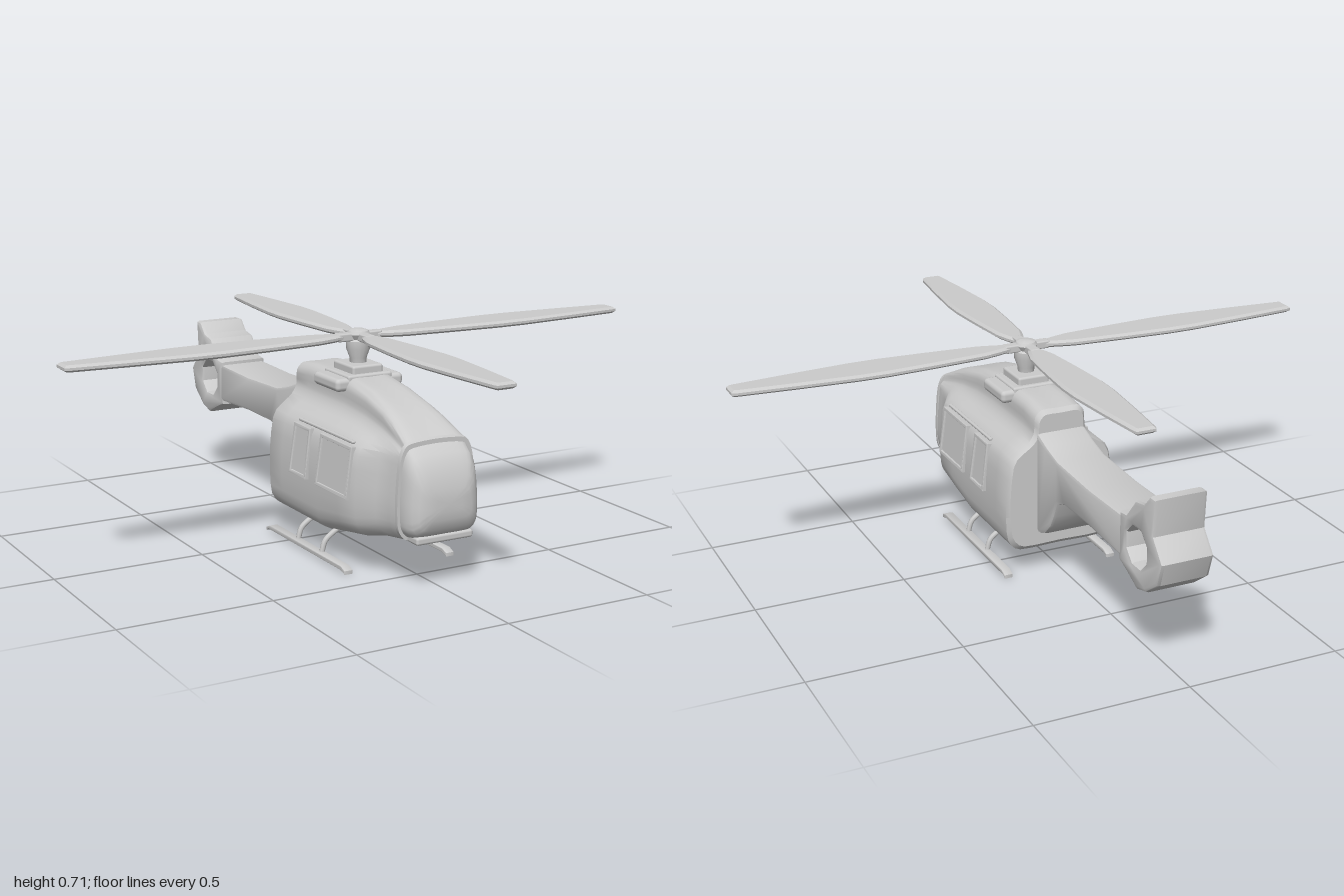
import * as THREE from 'three';
import { toCreasedNormals } from 'three/addons/utils/BufferGeometryUtils.js';
import { RoundedBoxGeometry } from 'three/addons/geometries/RoundedBoxGeometry.js';

const grey = new THREE.MeshStandardMaterial({ color: 0xcccccc });

function add(parent, name, geometry, x = 0, y = 0, z = 0) {
  const mesh = new THREE.Mesh(geometry, grey);
  mesh.name = name;
  mesh.position.set(x, y, z);
  parent.add(mesh);
  return mesh;
}

const box = (w, h, d, r = 0.008) => new RoundedBoxGeometry(w, h, d, 2, r);
const shapeOf = pts => new THREE.Shape(pts.map(p => new THREE.Vector2(...p)));

// Skin stretched over mirrored half outlines, listed from back to front
function loft(sections, crease = 0.6, n = 56) {
  const pos = [], index = [];
  for (const { z, half } of sections) {
    const mirrored = half.slice(1, -1).reverse().map(([x, y]) => [-x, y]);
    const ring = [...half, ...mirrored].map(([x, y]) => new THREE.Vector3(x, y, z));
    const curve = new THREE.CatmullRomCurve3(ring, true, 'catmullrom', 0.35);
    for (let j = 0; j < n; j++) pos.push(...curve.getPoint(j / n).toArray());
  }
  const last = sections.length - 1;
  for (let i = 0; i < last; i++) for (let j = 0; j < n; j++) {
    const k = (j + 1) % n, a = i * n + j, b = i * n + k;
    index.push(a, b, b + n, a, b + n, a + n);
  }
  // End caps
  for (const i of [0, last]) {
    const { z, half } = sections[i], c = pos.length / 3;
    pos.push(0, (half[0][1] + half[half.length - 1][1]) / 2, z);
    for (let j = 0; j < n; j++) {
      const a = i * n + j, b = i * n + (j + 1) % n;
      index.push(c, ...(i ? [a, b] : [b, a]));
    }
  }
  const g = new THREE.BufferGeometry();
  g.setAttribute('position', new THREE.Float32BufferAttribute(pos, 3));
  g.setIndex(index);
  return toCreasedNormals(g, crease);
}

// Side profile in (z, y), given a thickness across x
function sideExtrude(shape, width, bevel) {
  const g = new THREE.ExtrudeGeometry(shape, {
    depth: width - 2 * bevel, bevelThickness: bevel, bevelSize: bevel,
    bevelOffset: -bevel, bevelSegments: 2, curveSegments: 8,
  });
  g.translate(0, 0, bevel - width / 2).rotateY(-Math.PI / 2);
  return toCreasedNormals(g, 0.6);
}

// Half outline of the cabin: belly, side wall, shoulder and engine cowling
function cabinHalf(w, yb, yt, shoulder, cowl) {
  const u = yt - 0.4;
  return [[0, yb], [0.75 * w, yb], [0.97 * w, yb + 0.045], [w, 0.27], [0.91 * w, 0.4],
    [shoulder, 0.4 + 0.35 * u], [cowl, 0.4 + 0.55 * u], [cowl * 0.96, 0.4 + 0.85 * u],
    [cowl * 0.7, yt], [0, yt]];
}

function noseHalf(w, yb, yt) {
  const h = yt - yb;
  return [[0, yb], [0.75 * w, yb + 0.01 * h], [0.97 * w, yb + 0.13 * h], [w, yb + 0.4 * h],
    [0.93 * w, yb + 0.8 * h], [0.74 * w, yb + 0.97 * h], [0, yt]];
}

function windowFrame(parent, side, z, width) {
  const group = new THREE.Group();
  group.name = side > 0 ? 'leftWindow' : 'rightWindow';
  group.position.set(side * 0.181, 0.325, z);
  group.rotation.z = side * 0.13;
  parent.add(group);
  const rect = (w, h) => [[-w, -h], [w, -h], [w, h], [-w, h]];
  const shape = shapeOf(rect(width / 2, 0.083));
  shape.holes.push(new THREE.Path(rect(width / 2 - 0.012, 0.071).map(p => new THREE.Vector2(...p))));
  add(group, 'windowFrame', sideExtrude(shape, 0.026, 0.003));
  add(group, 'windowPane', new THREE.BoxGeometry(0.012, 0.15, width - 0.015));
}

export function createModel() {
  const model = new THREE.Group();
  model.name = 'helicopter';

  // Cabin and nose
  add(model, 'cabin', loft([
    [-0.14, 0.18, 0.105, 0.55, 0.1, 0.08], [-0.125, 0.19, 0.09, 0.563, 0.11, 0.09],
    [-0.04, 0.19, 0.09, 0.572, 0.11, 0.09], [0.2, 0.19, 0.09, 0.572, 0.11, 0.09],
    [0.33, 0.19, 0.112, 0.553, 0.11, 0.09], [0.44, 0.188, 0.13, 0.525, 0.115, 0.095],
    [0.5, 0.15, 0.143, 0.503, 0.115, 0.1], [0.56, 0.14, 0.15, 0.475, 0.117, 0.105],
    [0.6, 0.135, 0.155, 0.455, 0.12, 0.108],
  ].map(([z, ...p]) => ({ z, half: cabinHalf(...p) }))));
  add(model, 'windscreen', loft([
    [0.58, 0.128, 0.16, 0.455], [0.605, 0.128, 0.16, 0.445], [0.635, 0.125, 0.165, 0.42],
    [0.655, 0.115, 0.175, 0.393], [0.67, 0.1, 0.195, 0.355], [0.679, 0.08, 0.225, 0.32],
    [0.682, 0.045, 0.25, 0.295],
  ].map(([z, ...p]) => ({ z, half: noseHalf(...p) })), 0.9));
  add(model, 'windscreenFrame', loft([
    [0.592, 0.137, 0.152, 0.462], [0.606, 0.137, 0.152, 0.458],
  ].map(([z, ...p]) => ({ z, half: noseHalf(...p) }))));
  add(model, 'chin', box(0.2, 0.025, 0.07), 0, 0.162, 0.625);

  // Tail boom with the fairing that joins the cabin
  add(model, 'tailBoom', sideExtrude(shapeOf([
    [-0.1, 0.5], [-0.14, 0.49], [-0.2, 0.468], [-0.28, 0.448], [-0.5, 0.44], [-0.73, 0.445],
    [-0.73, 0.31], [-0.5, 0.32], [-0.33, 0.318], [-0.285, 0.302], [-0.26, 0.25],
    [-0.235, 0.205], [-0.195, 0.165], [-0.15, 0.147], [-0.1, 0.145],
  ]), 0.17, 0.012));

  // Tail fin with its open duct
  const fin = shapeOf([
    [-0.705, 0.455], [-0.745, 0.46], [-0.8, 0.525], [-0.85, 0.535], [-0.885, 0.572],
    [-0.918, 0.572], [-0.91, 0.455], [-0.965, 0.39], [-0.942, 0.315], [-0.875, 0.265],
    [-0.82, 0.25], [-0.755, 0.28], [-0.705, 0.3],
  ]);
  const duct = Array.from({ length: 8 }, (_, i) => {
    const a = (i + 0.5) * Math.PI / 4;
    return new THREE.Vector2(-0.812 + 0.064 * Math.cos(a), 0.382 + 0.064 * Math.sin(a));
  });
  fin.holes.push(new THREE.Path(duct));
  add(model, 'tailFin', sideExtrude(fin, 0.174, 0.012));
  for (let i = 0; i < 4; i++) {
    const a = (i + 0.5) * Math.PI / 2;
    add(model, 'ductTab', new THREE.BoxGeometry(0.03, 0.024, 0.024),
      0, 0.382 + 0.056 * Math.sin(a), -0.812 + 0.056 * Math.cos(a)).rotation.x = -a;
  }

  // Windows, rails, intakes and skids on both sides
  for (const s of [1, -1]) {
    windowFrame(model, s, 0.31, 0.2);
    windowFrame(model, s, 0.09, 0.11);
    add(model, 'doorRail', box(0.012, 0.01, 0.35, 0.004), s * 0.165, 0.418, 0.22);
    add(model, 'engineIntake', box(0.06, 0.042, 0.16, 0.015), s * 0.092, 0.551, 0.13);
    add(model, 'skid', sideExtrude(shapeOf([
      [0.4, 0], [0.4, 0.012], [0.375, 0.022], [-0.11, 0.022], [-0.135, 0.012], [-0.135, 0],
      [-0.12, 0.008], [0.37, 0.008],
    ]), 0.03, 0.003), s * 0.186);
    for (const z of [0.215, 0.055]) {
      const path = new THREE.CatmullRomCurve3([[0.11, 0.095], [0.14, 0.078], [0.168, 0.055], [0.181, 0.014]]
        .map(([x, y]) => new THREE.Vector3(s * x, y, z)));
      add(model, 'skidStrut', new THREE.TubeGeometry(path, 12, 0.009, 8));
    }
  }

  // Rotor mast
  const mast = new THREE.Group();
  mast.name = 'rotorMast';
  mast.position.z = 0.13;
  model.add(mast);
  add(mast, 'mastBase', box(0.16, 0.04, 0.16), 0, 0.56, 0);
  add(mast, 'mastPlinth', box(0.11, 0.04, 0.13), 0, 0.585, 0);
  add(mast, 'mastColumn', toCreasedNormals(new THREE.LatheGeometry([
    [0, 0.59], [0.026, 0.59], [0.028, 0.62], [0.039, 0.65], [0.039, 0.675], [0.03, 0.68],
    [0.039, 0.696], [0.032, 0.707], [0.018, 0.712], [0, 0.713],
  ].map(p => new THREE.Vector2(...p)), 16), 0.6));

  // Four blades with their root grips
  const edge = [[0.06, 0.016], [0.1, 0.03], [0.16, 0.045], [0.34, 0.06], [0.5, 0.07],
    [0.6, 0.069], [0.8, 0.054], [0.985, 0.037], [1, 0.032]];
  const bladeShape = shapeOf([...edge.map(([r, w]) => [r, -w]), ...edge.slice().reverse()]);
  const bladeGeometry = toCreasedNormals(new THREE.ExtrudeGeometry(bladeShape, {
    depth: 0.008, bevelThickness: 0.007, bevelSize: 0.01, bevelOffset: -0.01, bevelSegments: 1,
  }).translate(0, 0, -0.004).rotateX(-Math.PI / 2), 0.5);
  for (let i = 0; i < 4; i++) {
    const arm = new THREE.Group();
    arm.name = 'rotorArm';
    arm.position.y = 0.689;
    arm.rotation.y = i * Math.PI / 2;
    mast.add(arm);
    add(arm, 'rotorBlade', bladeGeometry).scale.x = i % 2 ? 0.835 : 1;
    add(arm, 'bladeGrip', box(0.06, 0.026, 0.034, 0.005), 0.05, 0, 0);
  }
  return model;
}
